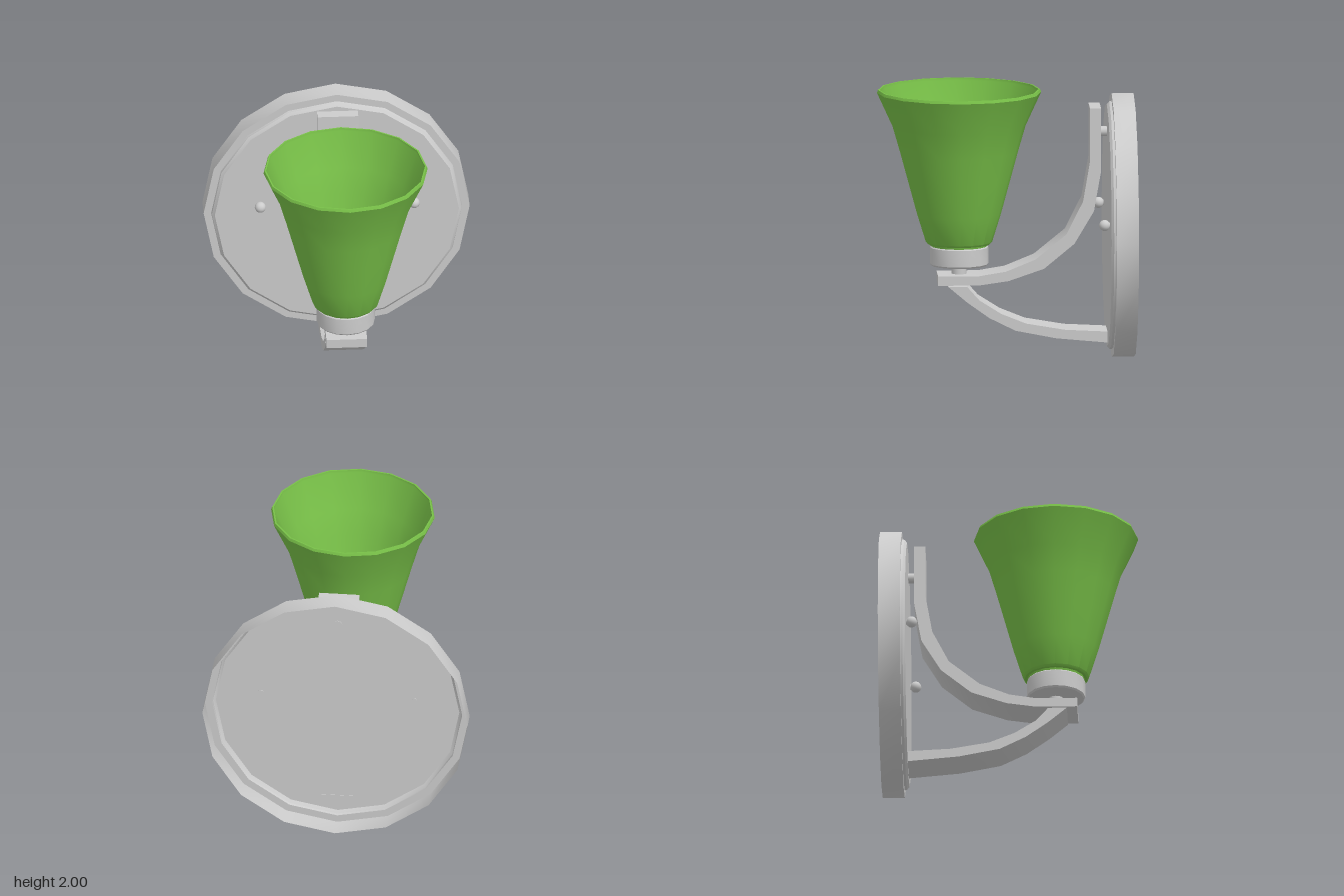
import * as THREE from 'three';
import { toCreasedNormals } from 'three/addons/utils/BufferGeometryUtils.js';

const metal = new THREE.MeshStandardMaterial({ color: 0xcccccc, side: THREE.DoubleSide });
const glass = new THREE.MeshStandardMaterial({ color: 0x78c048, side: THREE.DoubleSide });
const LAMP_Z = 0.34;
const PLATE_Y = 0.985;

export function createModel() {
  const group = new THREE.Group();

  const add = (name, geometry, material, x = 0, y = 0, z = 0) => {
    const mesh = new THREE.Mesh(geometry, material);
    mesh.name = name;
    mesh.position.set(x, y, z);
    group.add(mesh);
    return mesh;
  };
  // Turned part from [radius, height] pairs
  const turned = (profile, sides = 16) => toCreasedNormals(
    new THREE.LatheGeometry(profile.map(([r, h]) => new THREE.Vector2(r, h)), sides), 0.5);
  // Flat bar from a [z, y] outline, extruded across x
  const bar = (outline, width = 0.3) => {
    const shape = new THREE.Shape(outline.map(([z, y]) => new THREE.Vector2(z, y)));
    const g = new THREE.ExtrudeGeometry(shape, { depth: width, bevelEnabled: false });
    g.translate(0, 0, -width / 2).rotateY(-Math.PI / 2);
    return toCreasedNormals(g, 0.5);
  };
  // Pin running along z
  const pin = (radius, z0, z1) =>
    new THREE.CylinderGeometry(radius, radius, z1 - z0, 12).rotateX(Math.PI / 2).translate(0, 0, (z0 + z1) / 2);

  // Wall plate: a thin stepped dish, open at the back
  add('wallPlate', turned([
    [0.98, -0.945], [0.98, -0.783], [0.925, -0.783], [0.92, -0.765], [0.9, -0.747], [0, -0.747],
  ]).rotateX(Math.PI / 2), metal, 0, PLATE_Y, 0);

  // Decorative screws with ball heads
  for (const side of [-1, 1]) {
    add('screwStem', pin(0.02, -0.752, -0.7), metal, side * 0.567, 1.068, 0);
    add('screwBall', new THREE.SphereGeometry(0.041, 16, 12), metal, side * 0.567, 1.068, -0.708);
  }

  // Curved arms
  add('upperArm', bar([
    [0.5, 0.563], [0.2, 0.563], [-0.02, 0.595], [-0.28, 0.685], [-0.504, 0.87], [-0.647, 1.11],
    [-0.7, 1.41], [-0.7, 1.875], [-0.618, 1.875], [-0.618, 1.48], [-0.567, 1.183], [-0.445, 0.94],
    [-0.217, 0.754], [0, 0.665], [0.2, 0.632], [0.5, 0.632],
  ]), metal);
  add('lowerArm', bar([
    [0.424, 0.553], [0.286, 0.437], [0.122, 0.32], [-0.07, 0.225], [-0.37, 0.167], [-0.75, 0.133],
    [-0.75, 0.215], [-0.435, 0.23], [-0.148, 0.278], [0.037, 0.352], [0.196, 0.452], [0.286, 0.553],
  ]), metal);
  add('armMount', pin(0.037, -0.752, -0.69), metal, 0, 1.685, 0);

  // Lamp holder
  add('holderRod', new THREE.CylinderGeometry(0.054, 0.054, 0.16, 16), metal, 0, 0.628, LAMP_Z);
  add('holderCup', turned([
    [0, 0.695], [0.205, 0.695], [0.215, 0.707], [0.215, 0.83], [0.205, 0.842], [0, 0.842],
  ]), metal, 0, 0, LAMP_Z);

  // Flared shade with inner wall and floor
  add('shade', turned([
    [0, 0.838], [0.208, 0.838], [0.212, 0.853], [0.232, 0.855], [0.245, 0.87], [0.31, 1.08],
    [0.378, 1.33], [0.435, 1.54], [0.49, 1.73], [0.605, 1.98], [0.597, 2], [0.585, 2],
    [0.582, 1.98], [0.47, 1.73], [0.415, 1.54], [0.358, 1.33], [0.29, 1.08], [0.225, 0.87], [0, 0.865],
  ]), glass, 0, 0, LAMP_Z);

  // Bulb on a short neck
  add('bulb', new THREE.SphereGeometry(0.268, 10, 8), glass, 0, 1.22, LAMP_Z);
  add('bulbNeck', new THREE.CylinderGeometry(0.14, 0.11, 0.16, 10, 1, true), glass, 0, 0.94, LAMP_Z);

  return group;
}
